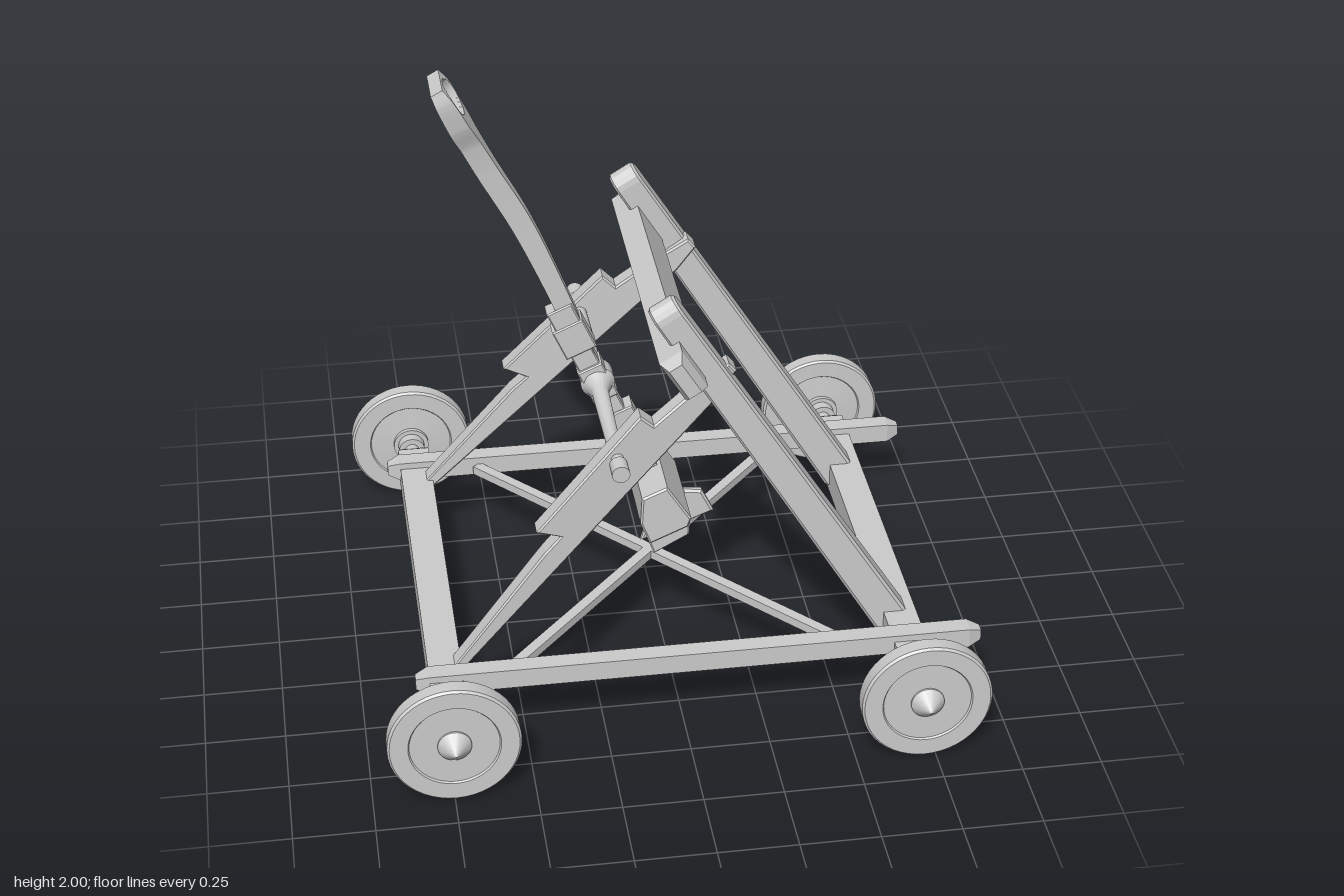
import * as THREE from 'three';
import { toCreasedNormals } from 'three/addons/utils/BufferGeometryUtils.js';

const mat = new THREE.MeshStandardMaterial({ color: 0xcccccc, side: THREE.DoubleSide });

function add(parent, name, geo, x = 0, y = 0, z = 0) {
  const m = new THREE.Mesh(geo, mat);
  m.name = name;
  m.position.set(x, y, z);
  parent.add(m);
  return m;
}

// Polygon in x, y extruded symmetrically along z, with an optional chamfer
function slab(pts, depth, bevel = 0, endTaper = bevel) {
  const shape = new THREE.Shape(pts.map(p => new THREE.Vector2(...p)));
  const d = depth - 2 * endTaper;
  const g = new THREE.ExtrudeGeometry(shape, {
    depth: d, bevelEnabled: bevel > 0, bevelThickness: endTaper,
    bevelSize: bevel, bevelOffset: -bevel, bevelSegments: 1,
  });
  return g.translate(0, 0, -d / 2);
}

// Rectangular bar along z whose ends taper
function bar(w, h, length, bevel, endTaper) {
  const a = w / 2, b = h / 2;
  return slab([[-a, -b], [a, -b], [a, b], [-a, b]], length, bevel, endTaper);
}

// Turned part with its axis on z; profile is [radius, z]
function turned(profile, sides = 24) {
  const g = new THREE.LatheGeometry(profile.map(p => new THREE.Vector2(...p)), sides);
  return toCreasedNormals(g.rotateX(Math.PI / 2), 0.5);
}

// Throwing arm: rectangular sections swept along a curve, with a bowl pressed into the head
function armGeometry() {
  // x, y, half width, half thickness from foot to tip
  const st = [
    [0.05, 0.42, 0.026, 0.028], [0, 0.53, 0.026, 0.028], [-0.19, 0.925, 0.026, 0.03],
    [-0.29, 1.2, 0.027, 0.03], [-0.415, 1.5, 0.027, 0.034], [-0.52, 1.7, 0.034, 0.034],
    [-0.565, 1.79, 0.045, 0.033], [-0.6, 1.86, 0.071, 0.032], [-0.64, 1.945, 0.082, 0.028],
    [-0.665, 1.99, 0.073, 0.02],
  ];
  const path = new THREE.CatmullRomCurve3(st.map(s => new THREE.Vector3(s[0], s[1], 0)));
  const size = new THREE.CatmullRomCurve3(st.map(s => new THREE.Vector3(s[2], s[3], 0)));
  const N = 90, K = 19, R = 2 * K, pos = [], idx = [];
  for (let i = 0; i <= N; i++) {
    const p = path.getPoint(i / N), d = path.getTangent(i / N), s = size.getPoint(i / N);
    for (let j = 0; j < R; j++) {
      const front = j < K;
      const z = s.x * (2 * (front ? j : R - 1 - j) / (K - 1) - 1);
      const r2 = (z / 0.068) ** 2 + ((p.y - 1.93) / 0.05) ** 2;
      const dent = front ? 0.036 * Math.sqrt(Math.max(0, 1 - r2)) : 0;
      const off = (front ? s.y : -s.y) - dent;
      pos.push(p.x + d.y * off, p.y - d.x * off, z);
    }
  }
  for (let i = 0; i < N; i++) for (let j = 0; j < R; j++) {
    const a = i * R + j, b = i * R + (j + 1) % R;
    idx.push(a, a + R, b + R, a, b + R, b);
  }
  for (let j = 0; j < K - 1; j++) {
    const a = j, b = j + 1, c = R - 2 - j, e = R - 1 - j, t = N * R;
    idx.push(a, b, c, a, c, e, a + t, c + t, b + t, a + t, e + t, c + t);
  }
  const g = new THREE.BufferGeometry();
  g.setAttribute('position', new THREE.Float32BufferAttribute(pos, 3));
  g.setIndex(idx);
  return toCreasedNormals(g, 0.7);
}

export function createModel() {
  const root = new THREE.Group();
  root.name = 'catapult';

  // Wheels with recessed rim line, pointed hub, inner collar and spindle
  const wheel = turned([
    [0, -0.13], [0.025, -0.13], [0.025, -0.08], [0.045, -0.08], [0.045, -0.045],
    [0.06, -0.045], [0.06, -0.03], [0.138, -0.024], [0.142, -0.03], [0.198, -0.03],
    [0.205, -0.023], [0.205, 0.023], [0.198, 0.03], [0.142, 0.03], [0.138, 0.024],
    [0.052, 0.024], [0.052, 0.03], [0, 0.085],
  ], 48);
  for (const x of [-0.745, 0.715]) {
    add(root, 'axleBeam', bar(0.105, 0.105, 1.48, 0.02, 0.035), x, 0.21, 0);
    for (const s of [1, -1]) {
      const w = add(root, 'wheel', wheel, x, 0.208, s * 0.86);
      if (s < 0) w.rotation.y = Math.PI;
    }
  }

  // Diagonal floor braces
  for (const s of [1, -1]) {
    const b = add(root, 'floorBrace', bar(0.035, 0.03, 1.56, 0.005, 0.005), -0.02, 0.245, 0);
    b.rotation.y = s * Math.atan2(1.03, 1.15);
  }

  // Outline of the rear support with its thick bearing board
  const support = [
    [-0.74, 0.23], [-0.695, 0.235], [-0.587, 0.347], [0.127, 1.087], [0.185, 1.17], [0.16, 1.2],
    [0.095, 1.155], [-0.074, 1.022], [-0.116, 1.062], [-0.445, 0.705], [-0.37, 0.675], [-0.42, 0.625],
  ];

  // Upright outline: length on y, width on x, rounded head
  const upright = [[-0.042, -0.72], [0.042, -0.72], [0.042, 0.67]];
  for (let i = 1; i <= 8; i++) {
    const a = i / 8 * Math.PI;
    upright.push([0.042 * Math.cos(a), 0.67 + 0.05 * Math.sin(a)]);
  }
  const lean = Math.atan2(0.75, 1.22);

  for (const s of [1, -1]) {
    // Side rails
    const rail = add(root, 'sideRail', bar(0.06, 0.066, 1.785, 0.015, 0.04), 0.052, 0.252, s * 0.61);
    rail.rotation.y = Math.PI / 2;

    // Leaning uprights, a little deeper at the foot
    const ug = slab(upright, 0.1, 0.008);
    const up = ug.attributes.position;
    for (let i = 0; i < up.count; i++) up.setZ(i, up.getZ(i) * (1.03 - 0.18 * up.getY(i)));
    ug.rotateY(Math.PI / 2).computeVertexNormals();
    add(root, 'upright', ug, 0.325, 0.82, s * 0.435).rotation.z = lean;

    // Rear supports, converging toward the uprights
    const g = slab(support, 0.065, 0.006);
    const p = g.attributes.position;
    for (let i = 0; i < p.count; i++) {
      p.setZ(i, p.getZ(i) + s * (0.535 - 0.155 * (p.getX(i) + 0.74)));
    }
    g.computeVertexNormals();
    add(root, 'rearSupport', g);
  }

  // Padded stop bar across the uprights
  add(root, 'stopBar', bar(0.08, 0.152, 1.14, 0.018, 0.04), 0.005, 1.235, 0).rotation.z = lean;

  // Pivot rod with swollen hub
  const half = [[0, 0.57], [0.028, 0.57], [0.028, 0.51], [0.02, 0.5], [0.027, 0.09], [0.046, 0.04], [0.055, 0.03]];
  add(root, 'pivotRod', turned([...half.map(([r, z]) => [r, -z]), ...half.slice().reverse()], 20), -0.19, 0.925, 0);

  // Throwing arm with bowl
  add(root, 'throwingArm', armGeometry());

  // Sheath and collars around the arm near the pivot
  const tilt = Math.atan2(0.21, 0.47);
  const sleeves = [
    [-0.19, 0.925, 0.072, 0.5, 0.058], [-0.262, 1.09, 0.105, 0.11, 0.072], [-0.293, 1.165, 0.085, 0.08, 0.064],
    [-0.113, 0.775, 0.105, 0.08, 0.072], [-0.088, 0.715, 0.085, 0.08, 0.064], [-0.19, 0.925, 0.085, 0.13, 0.08],
  ];
  for (const [x, y, w, h, d] of sleeves) {
    add(root, 'armCollar', bar(w, h, d, 0.004, 0.004), x, y, 0).rotation.z = tilt;
  }

  // Counterweight: main block, lower block and central fin
  add(root, 'counterweight', slab(
    [[-0.075, 0.47], [-0.045, 0.39], [0.08, 0.445], [0.09, 0.475], [0.012, 0.6], [-0.07, 0.565]], 0.35, 0.006));
  add(root, 'counterweightBase', slab(
    [[-0.075, 0.47], [-0.03, 0.342], [0.085, 0.405], [0.09, 0.475]], 0.325, 0.006));
  add(root, 'counterweightFin', slab(
    [[-0.03, 0.365], [-0.052, 0.295], [0.19, 0.39], [0.15, 0.473], [0.09, 0.48]], 0.03, 0.008));

  return root;
}
